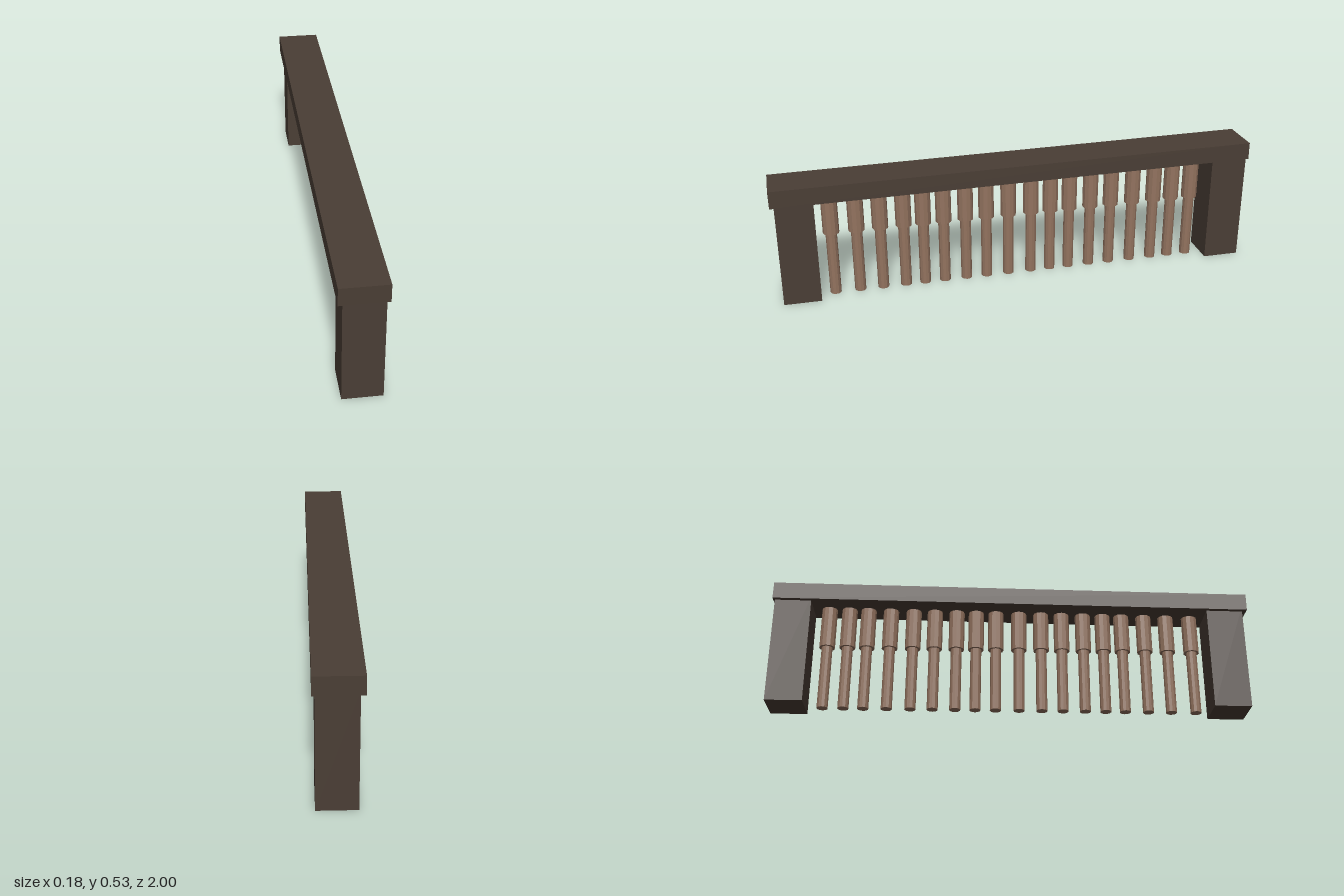
import * as THREE from 'three';

const darkWood = new THREE.MeshStandardMaterial({ color: 0x4a3e35, flatShading: true });
const lightWood = new THREE.MeshStandardMaterial({ color: 0x93735f, flatShading: true });

function add(parent, name, geometry, material, x, y, z) {
  const mesh = new THREE.Mesh(geometry, material);
  mesh.name = name;
  mesh.position.set(x, y, z);
  parent.add(mesh);
  return mesh;
}

// Height of the rail's underside, which rises gently toward the back
const railBottom = z => 0.443 - 0.0105 * z;

export function createModel() {
  const group = new THREE.Group();
  group.name = 'balustrade';

  // Handrail, slightly tilted
  const rail = add(group, 'handrail', new THREE.BoxGeometry(0.18, 0.072, 2), darkWood, 0, 0.479, 0);
  rail.rotation.x = 0.0105;

  // Square end posts
  for (const [name, z] of [['frontPost', 0.907], ['backPost', -0.917]]) {
    const h = railBottom(z) + 0.02;
    add(group, name, new THREE.BoxGeometry(0.152, h, 0.152), darkWood, 0.004, h / 2, z);
  }

  // Stepped balusters, unevenly spaced
  const spots = [0.77, 0.668, 0.572, 0.476, 0.395, 0.31, 0.218, 0.13, 0.036,
    -0.062, -0.146, -0.229, -0.322, -0.413, -0.51, -0.606, -0.687, -0.772];
  const split = 0.273;
  const shaft = new THREE.CylinderGeometry(0.023, 0.023, split, 12);
  for (const z of spots) {
    const baluster = new THREE.Group();
    baluster.name = 'baluster';
    baluster.position.set(0.014, 0, z);
    const h = railBottom(z) + 0.02 - split;
    add(baluster, 'lowerShaft', shaft, lightWood, 0, split / 2, 0);
    add(baluster, 'upperSleeve', new THREE.CylinderGeometry(0.033, 0.033, h, 12), lightWood, 0, split + h / 2, 0);
    group.add(baluster);
  }
  return group;
}
